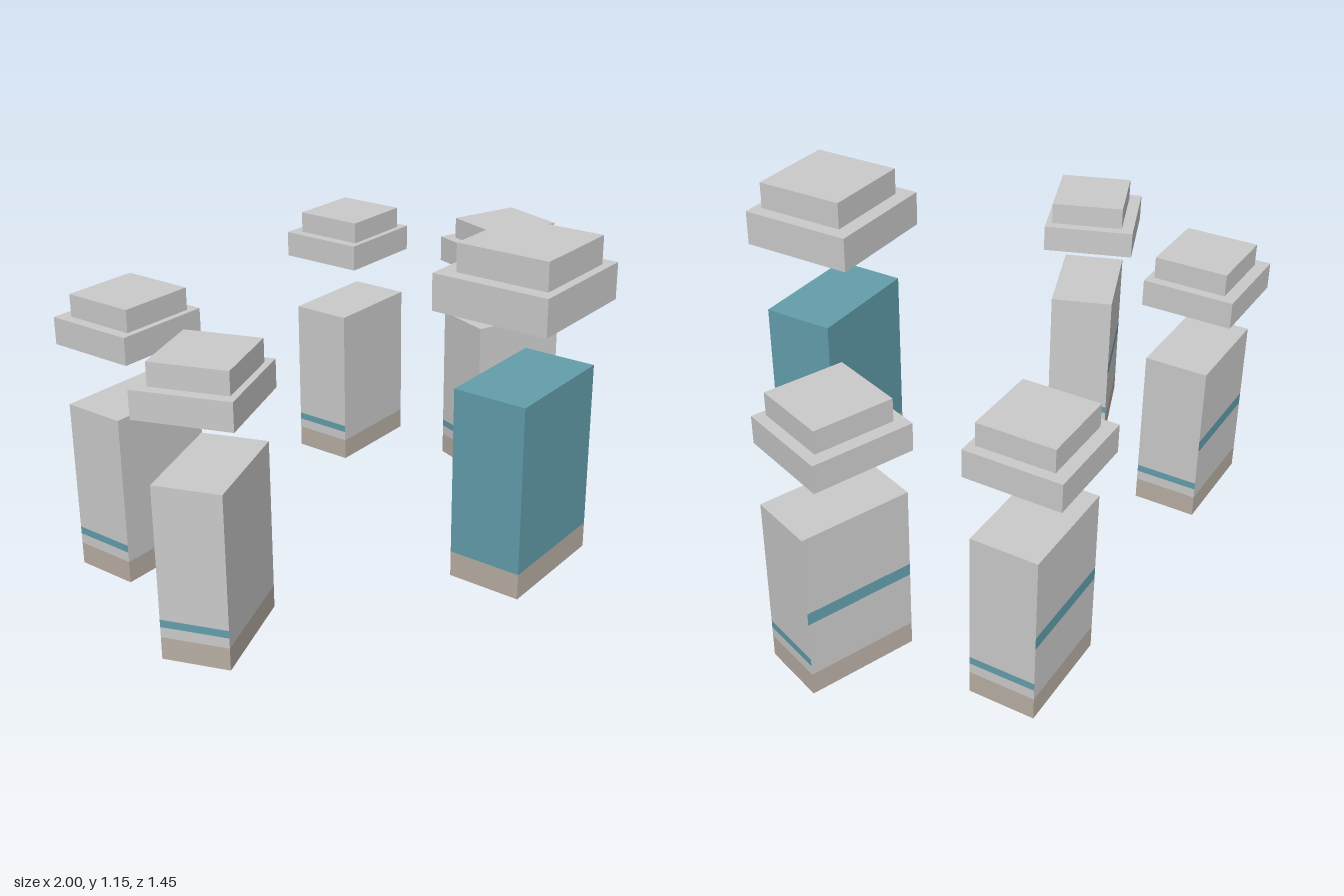
import * as THREE from 'three';

const material = (color) => new THREE.MeshStandardMaterial({ color, side: THREE.DoubleSide });

export function createModel() {
  const grey = material(0xcccccc);
  const tan = material(0xbab0a5);
  const teal = material(0x639fac);
  const model = new THREE.Group();
  model.name = 'hattedFigures';

  const add = (parent, name, geometry, mat) => {
    const mesh = new THREE.Mesh(geometry, mat);
    mesh.name = name;
    parent.add(mesh);
    return mesh;
  };

  // One upright wall made of stacked colour bands: [top, material], from y0 upwards.
  // Side 0 = front, 1 = left, 2 = back, 3 = right.
  function wall(parent, name, side, w, d, y0, bands) {
    const width = side % 2 ? d : w;
    const out = (side % 2 ? w : d) / 2;
    let bottom = y0;
    for (const [top, mat] of bands) {
      const g = new THREE.PlaneGeometry(width, top - bottom);
      g.translate(0, (top + bottom) / 2, out).rotateY(side * Math.PI / 2);
      add(parent, name, g, mat);
      bottom = top;
    }
  }

  // Flat horizontal sheet, optionally with a rectangular hole [w, d, z offset]
  function sheet(parent, name, w, d, y, mat, hole) {
    const rect = (Type, a, b, z = 0) => new Type([[-1, -1], [1, -1], [1, 1], [-1, 1]]
      .map(([i, j]) => new THREE.Vector2(i * a / 2, j * b / 2 - z)));
    const shape = rect(THREE.Shape, w, d);
    if (hole) shape.holes.push(rect(THREE.Path, ...hole));
    add(parent, name, new THREE.ShapeGeometry(shape).rotateX(-Math.PI / 2).translate(0, y, 0), mat);
  }

  // Hollow stepped hat, open underneath
  function hat(parent, { brim, crown, y, z, shift }) {
    const group = new THREE.Group();
    group.name = 'hat';
    group.position.z = z;
    const top = new THREE.Group();
    top.name = 'crown';
    top.position.z = shift;
    for (let s = 0; s < 4; s++) {
      wall(group, 'brimWall', s, ...brim, y[0], [[y[1], grey]]);
      wall(top, 'crownWall', s, ...crown, y[1], [[y[2], grey]]);
    }
    sheet(group, 'brimLedge', ...brim, y[1], grey, [...crown, shift]);
    sheet(top, 'crownTop', ...crown, y[2], grey);
    group.add(top);
    parent.add(group);
  }

  // Hollow box body, open underneath; bands lists the four walls
  function body(parent, w, d, y0, y1, bands, topMaterial) {
    const group = new THREE.Group();
    group.name = 'body';
    bands.forEach((b, s) => wall(group, 'bodyWall', s, w, d, y0, b));
    sheet(group, 'bodyTop', w, d, y1, topMaterial);
    parent.add(group);
  }

  // Leading figure: teal, larger and raised
  const leader = new THREE.Group();
  leader.name = 'leader';
  leader.position.set(0, 0, 0.543);
  const leaderBands = [[0.16, tan], [0.712, teal]];
  body(leader, 0.412, 0.245, 0.075, 0.712, Array(4).fill(leaderBands), teal);
  hat(leader, { brim: [0.412, 0.388], crown: [0.318, 0.308], y: [0.94, 1.057, 1.147], z: -0.013, shift: 0.012 });
  model.add(leader);

  // Four followers: grey, with a low stripe on the sides and a higher one behind
  const frontBands = [[0.075, tan], [0.57, grey]];
  const sideBands = [[0.075, tan], [0.109, grey], [0.134, teal], [0.57, grey]];
  const backBands = [[0.075, tan], [0.265, grey], [0.306, teal], [0.57, grey]];
  for (const side of [1, -1]) {
    for (const [name, x, z, turn] of [['middleFollower', 0.79, -0.025, 20], ['rearFollower', 0.566, -0.56, 0]]) {
      const figure = new THREE.Group();
      figure.name = name;
      figure.position.set(side * x, 0, z);
      figure.rotation.y = -side * THREE.MathUtils.degToRad(turn);
      body(figure, 0.362, 0.216, 0, 0.57, [frontBands, sideBands, backBands, sideBands], grey);
      hat(figure, { brim: [0.328, 0.308], crown: [0.258, 0.246], y: [0.755, 0.845, 0.919], z: -0.01, shift: 0.01 });
      model.add(figure);
    }
  }
  return model;
}
